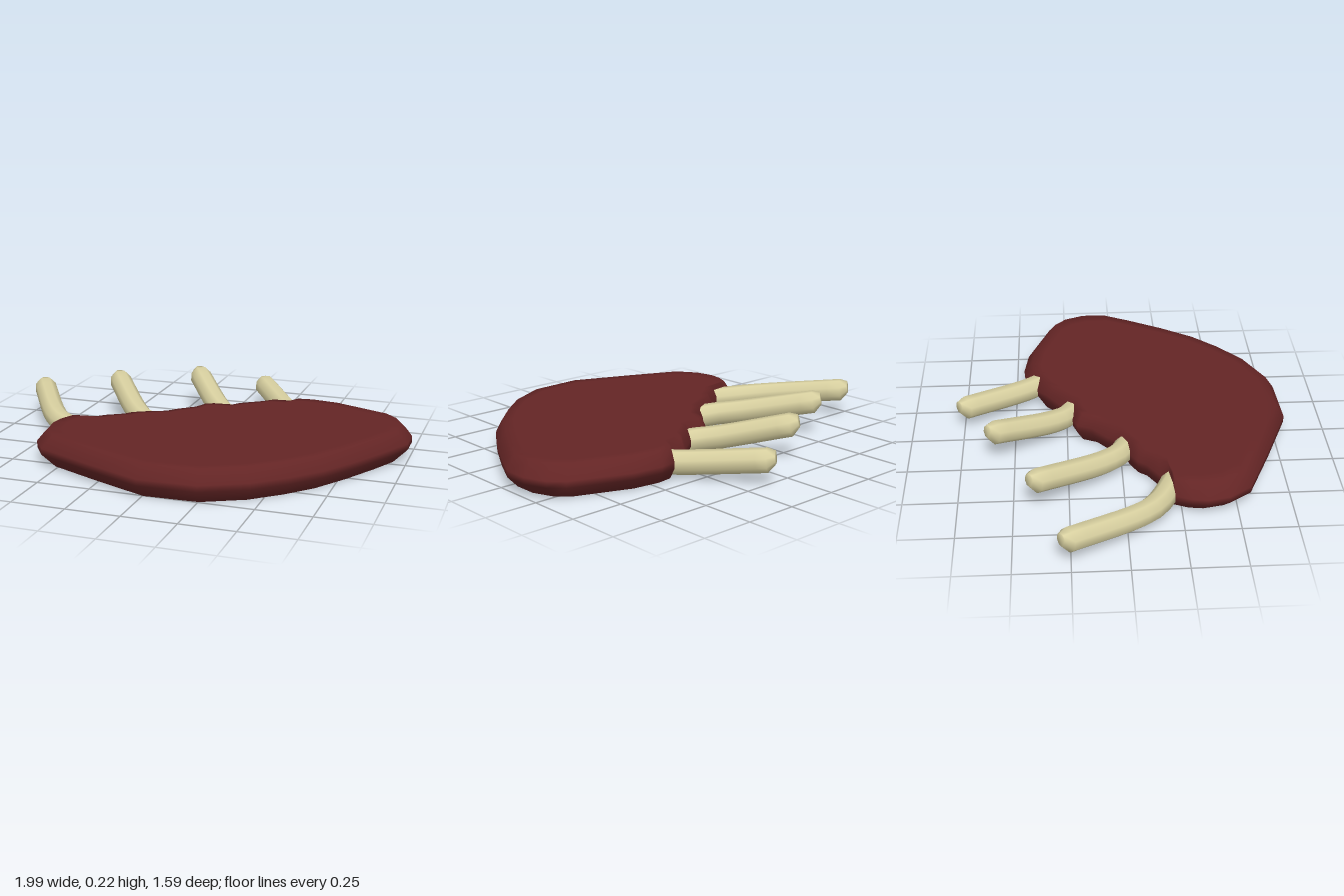
import * as THREE from 'three';

const meatRed = new THREE.MeshStandardMaterial({ name: 'meatRed', color: 0x642525 });
const boneCream = new THREE.MeshStandardMaterial({ name: 'boneCream', color: 0xd8d0a0 });

// Smooth closed solid through equal-sized rings; outline is the 2D cap contour (counterclockwise)
function loft(rings, outline) {
  const n = outline.length, last = (rings.length - 1) * n, index = [];
  for (let r = 0; r < rings.length - 1; r++) {
    for (let i = 0; i < n; i++) {
      const j = (i + 1) % n, a = r * n + i, b = r * n + j;
      index.push(a, b, b + n, a, b + n, a + n);
    }
  }
  for (const [a, b, c] of THREE.ShapeUtils.triangulateShape(outline, [])) {
    index.push(c, b, a, last + a, last + b, last + c);
  }
  const geometry = new THREE.BufferGeometry().setFromPoints(rings.flat());
  geometry.setIndex(index);
  geometry.computeVertexNormals();
  return geometry;
}

// Slab outline (x, z): left end, front, right end, then the scalloped back
const EDGE = [
  [-0.62, 0.22], [-0.65, 0.29], [-0.66, 0.36], [-0.64, 0.46], [-0.57, 0.56], [-0.3, 0.68], [-0.01, 0.8],
  [0.26, 0.79], [0.46, 0.69], [0.6, 0.57], [0.72, 0.44], [0.83, 0.27], [0.93, 0.09],
  [1.0, -0.05], [1.0, -0.17], [0.96, -0.27], [0.9, -0.33], [0.62, -0.44], [0.48, -0.46],
  [0.4, -0.45], [0.37, -0.4], [0.28, -0.39], [0.23, -0.34], [0.13, -0.27], [0.1, -0.23],
  [0, -0.22], [-0.04, -0.2], [-0.07, -0.13], [-0.15, -0.06], [-0.19, -0.01], [-0.3, 0.04],
  [-0.35, 0.07], [-0.38, 0.11], [-0.46, 0.16], [-0.5, 0.2], [-0.58, 0.21],
];

function meatGeometry() {
  // height and scale of each level: bevelled rim, flat top and bottom
  const levels = [[0, 0.85], [0, 0.925], [0.06, 1], [0.09, 1], [0.15, 0.935], [0.15, 0.86]];
  const cx = 0.17, cz = 0.17;
  const rings = levels.map(([y, s]) => EDGE.map(([x, z]) =>
    new THREE.Vector3(cx + (x - cx) * s, y, cz + (z - cz) * s)));
  return loft(rings, EDGE.map(([x, z]) => new THREE.Vector2(x, -z)));
}

function boneGeometry(points) {
  const sides = 8, steps = 12, radius = 0.056;
  const curve = new THREE.CatmullRomCurve3(points.map((p) => new THREE.Vector3(...p)), false, 'centripetal');
  const circle = Array.from({ length: sides }, (_, i) => {
    const a = ((i + 0.5) / sides) * Math.PI * 2;
    return new THREE.Vector2(Math.cos(a), Math.sin(a));
  });
  const ring = (centre, t, r) => {
    const side = new THREE.Vector3(0, 1, 0).cross(t).normalize();
    const up = t.clone().cross(side);
    return circle.map((c) => centre.clone().addScaledVector(side, c.x * r).addScaledVector(up, c.y * r));
  };
  const rings = [];
  for (let k = 0; k <= steps; k++) {
    rings.push(ring(curve.getPointAt(k / steps), curve.getTangentAt(k / steps), radius));
  }
  // rounded tip
  const end = curve.getPointAt(1), dir = curve.getTangentAt(1);
  rings.push(ring(end.clone().addScaledVector(dir, 0.035).add(new THREE.Vector3(0, 0.012, 0)), dir, radius * 0.55));
  return loft(rings, circle);
}

// Bone centre lines from the root inside the meat to the raised tip
const BONES = [
  [[-0.4, 0.07, 0.25], [-0.53, 0.07, 0.2], [-0.66, 0.075, 0.13], [-0.74, 0.085, 0.05], [-0.945, 0.13, -0.26]],
  [[-0.08, 0.07, 0.08], [-0.16, 0.07, 0.04], [-0.27, 0.08, -0.01], [-0.36, 0.095, -0.1], [-0.575, 0.165, -0.395]],
  [[0.28, 0.07, -0.16], [0.19, 0.07, -0.2], [0.08, 0.075, -0.24], [0, 0.09, -0.32], [-0.195, 0.17, -0.59]],
  [[0.47, 0.07, -0.3], [0.4, 0.07, -0.36], [0.33, 0.072, -0.44], [0.12, 0.108, -0.74]],
];

export function createModel() {
  const model = new THREE.Group();
  model.name = 'ribRack';
  const meat = new THREE.Mesh(meatGeometry(), meatRed);
  meat.name = 'meatSlab';
  model.add(meat);
  BONES.forEach((points, i) => {
    const bone = new THREE.Mesh(boneGeometry(points), boneCream);
    bone.name = `ribBone${i + 1}`;
    model.add(bone);
  });
  return model;
}
